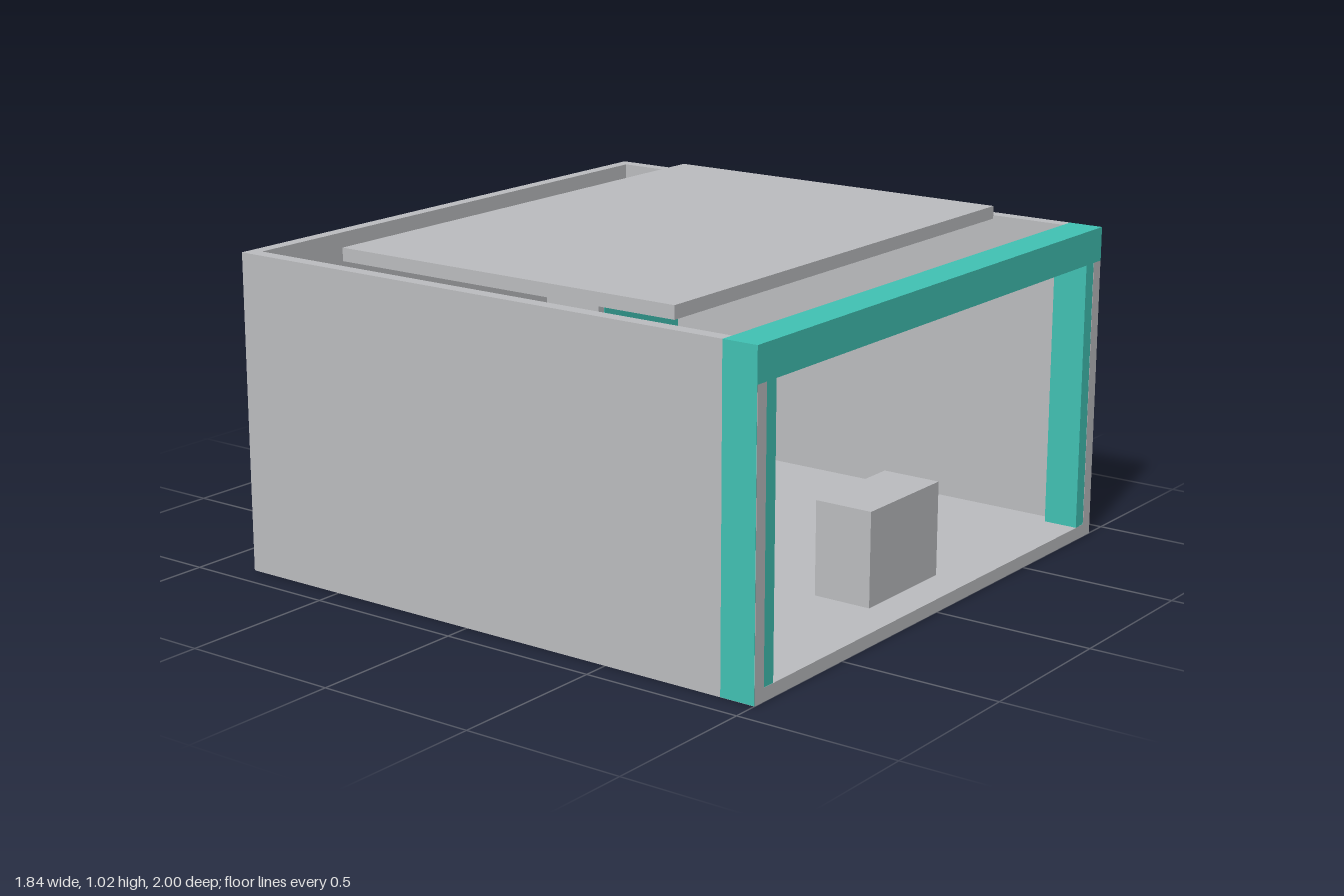
import * as THREE from 'three';

export function createModel() {
  const model = new THREE.Group();
  model.name = 'garage';
  const grey = new THREE.MeshStandardMaterial({ color: 0xbcbdc0 });
  grey.name = 'concrete grey';
  const teal = new THREE.MeshStandardMaterial({ color: 0x41c2b4 });
  teal.name = 'trim teal';

  // Box given by its extents on each axis
  function block(name, material, [x0, x1], [y0, y1], [z0, z1]) {
    const mesh = new THREE.Mesh(new THREE.BoxGeometry(x1 - x0, y1 - y0, z1 - z0), material);
    mesh.position.set((x0 + x1) / 2, (y0 + y1) / 2, (z0 + z1) / 2);
    mesh.name = name;
    model.add(mesh);
  }
  // Extent mirrored to the chosen side of x = 0
  const onSide = (s, a, b) => (s > 0 ? [a, b] : [-b, -a]);

  // Shell
  block('floor', grey, [-0.919, 0.919], [0, 0.04], [-0.844, 1.001]);
  block('backWall', grey, [-0.877, 0.877], [0.001, 0.985], [-0.845, -0.805]);
  for (const [s, side] of [[1, 'left'], [-1, 'right']]) {
    block(side + 'Wall', grey, onSide(s, 0.877, 0.92), [0.001, 0.985], [-0.845, 0.89]);
    // Front post with its grey wall end
    block(side + 'Post', teal, onSide(s, 0.832, 0.92), [0.001, 0.88], [0.89, 1]);
    block(side + 'WallEnd', grey, onSide(s, 0.877, 0.919), [0.001, 0.88], [0.998, 1.001]);
  }

  // Beam over the front opening
  block('lintel', teal, [-0.92, 0.92], [0.88, 0.985], [0.89, 1.001]);

  // Floating roof slab
  block('roofSlab', grey, [-0.83, 0.83], [0.985, 1.025], [-0.525, 0.67]);

  // Closet corner: partition passing through the back wall, and its panel
  block('partition', grey, [0.44, 0.47], [0.001, 0.738], [-1, -0.585]);
  block('closetPanel', teal, [0.47, 0.877], [0.001, 0.738], [-0.615, -0.583]);

  // Box standing by the entrance
  block('entranceBlock', grey, [-0.185, 0.182], [0.04, 0.33], [0.7, 0.887]);

  return model;
}
